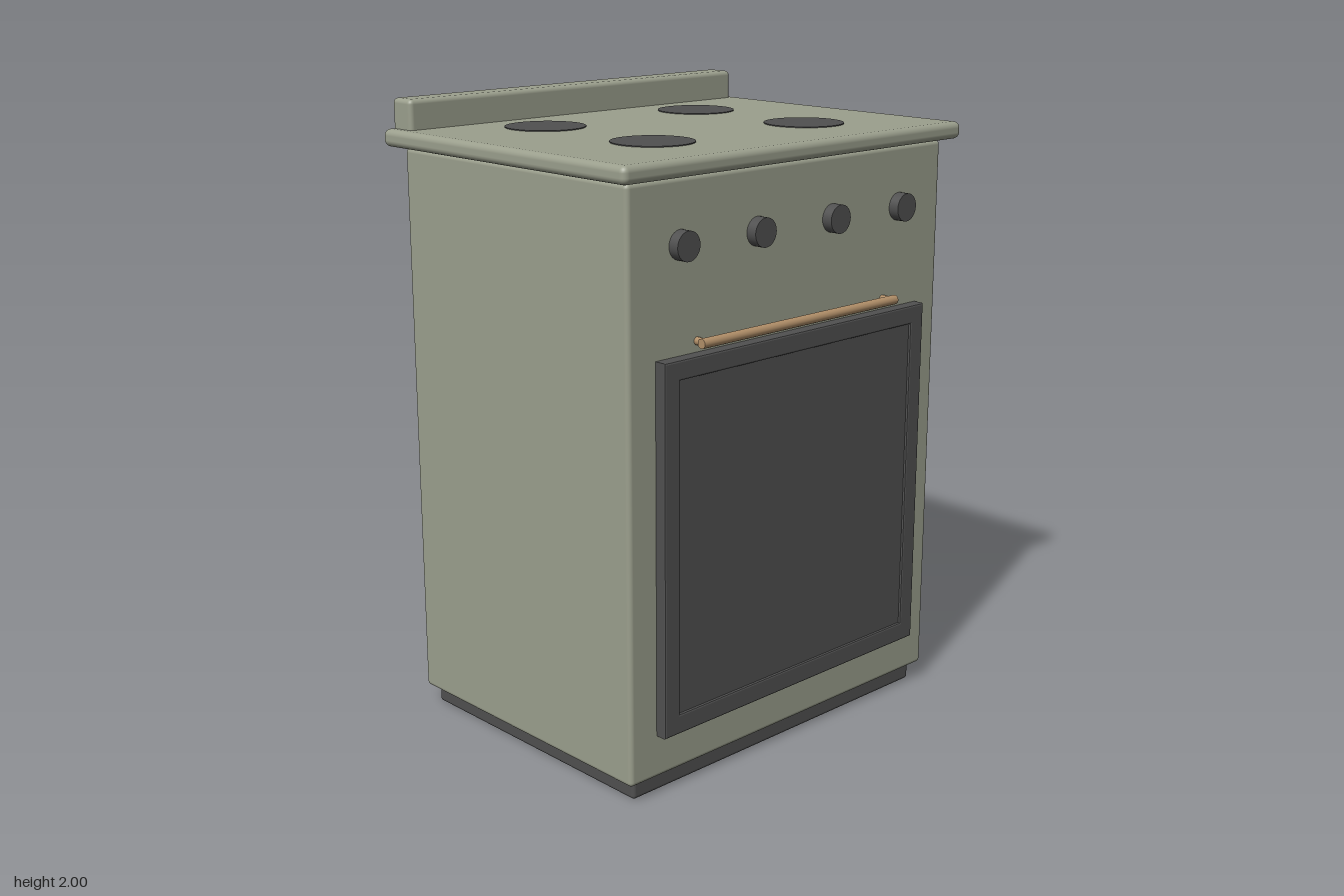
import * as THREE from 'three';
import { RoundedBoxGeometry } from 'three/addons/geometries/RoundedBoxGeometry.js';

export function createModel() {
  const group = new THREE.Group();
  const material = (name, color) => {
    const m = new THREE.MeshStandardMaterial({ color });
    m.name = name;
    return m;
  };
  const enamel = material('sage enamel', 0x9b9f8d);
  const dark = material('charcoal', 0x505050);
  const brass = material('brass', 0xb08e68);

  const add = (name, geometry, mat, x = 0, y = 0, z = 0) => {
    const mesh = new THREE.Mesh(geometry, mat);
    mesh.name = name;
    mesh.position.set(x, y, z);
    group.add(mesh);
    return mesh;
  };
  // Rounded box given by its limits; x is symmetric
  const slab = (name, halfX, y0, y1, z0, z1, r, mat) =>
    add(name, new RoundedBoxGeometry(2 * halfX, y1 - y0, z1 - z0, 3, r), mat,
      0, (y0 + y1) / 2, (z0 + z1) / 2);

  // Cabinet
  slab('plinth', 0.637, 0, 0.09, -0.482, 0.482, 0.012, dark);
  slab('body', 0.67, 0.06, 1.85, -0.508, 0.508, 0.015, enamel);
  slab('neck', 0.65, 1.83, 1.87, -0.49, 0.49, 0.005, enamel);
  slab('cooktop', 0.718, 1.853, 1.907, -0.556, 0.552, 0.02, enamel);
  slab('backguard', 0.686, 1.88, 2, -0.543, -0.45, 0.015, enamel);

  // Hot plates
  for (const x of [-0.323, 0.323]) {
    for (const z of [-0.25, 0.237]) {
      add('hotPlate', new THREE.CylinderGeometry(0.126, 0.126, 0.006, 48), dark, x, 1.907, z);
    }
  }

  // Control knobs
  for (const x of [-0.47, -0.162, 0.162, 0.47]) {
    add('knob', new THREE.CylinderGeometry(0.044, 0.044, 0.045, 32), dark, x, 1.66, 0.5205)
      .rotation.x = Math.PI / 2;
  }

  // Door frame with a shallow recessed pane
  const rect = (path, x, y0, y1) =>
    path.moveTo(-x, y0).lineTo(x, y0).lineTo(x, y1).lineTo(-x, y1).closePath();
  const bevel = 0.006;
  const frame = rect(new THREE.Shape(), 0.566 - bevel, 0.197 + bevel, 1.342 - bevel);
  frame.holes.push(rect(new THREE.Path(), 0.512, 0.254, 1.288));
  add('doorFrame', new THREE.ExtrudeGeometry(frame, {
    depth: 0.034, bevelThickness: bevel, bevelSize: bevel, bevelSegments: 2,
  }), dark, 0, 0, 0.506);
  add('doorPane', new THREE.BoxGeometry(1.024, 1.034, 0.038), dark, 0, 0.771, 0.519);

  // Handle bar and its two posts
  add('handleBar', new THREE.CylinderGeometry(0.015, 0.015, 0.846, 24), brass, 0, 1.375, 0.545)
    .rotation.z = Math.PI / 2;
  for (const x of [-0.405, 0.405]) {
    add('handlePost', new THREE.CylinderGeometry(0.012, 0.012, 0.045, 16), brass, x, 1.375, 0.5225)
      .rotation.x = Math.PI / 2;
  }
  return group;
}
